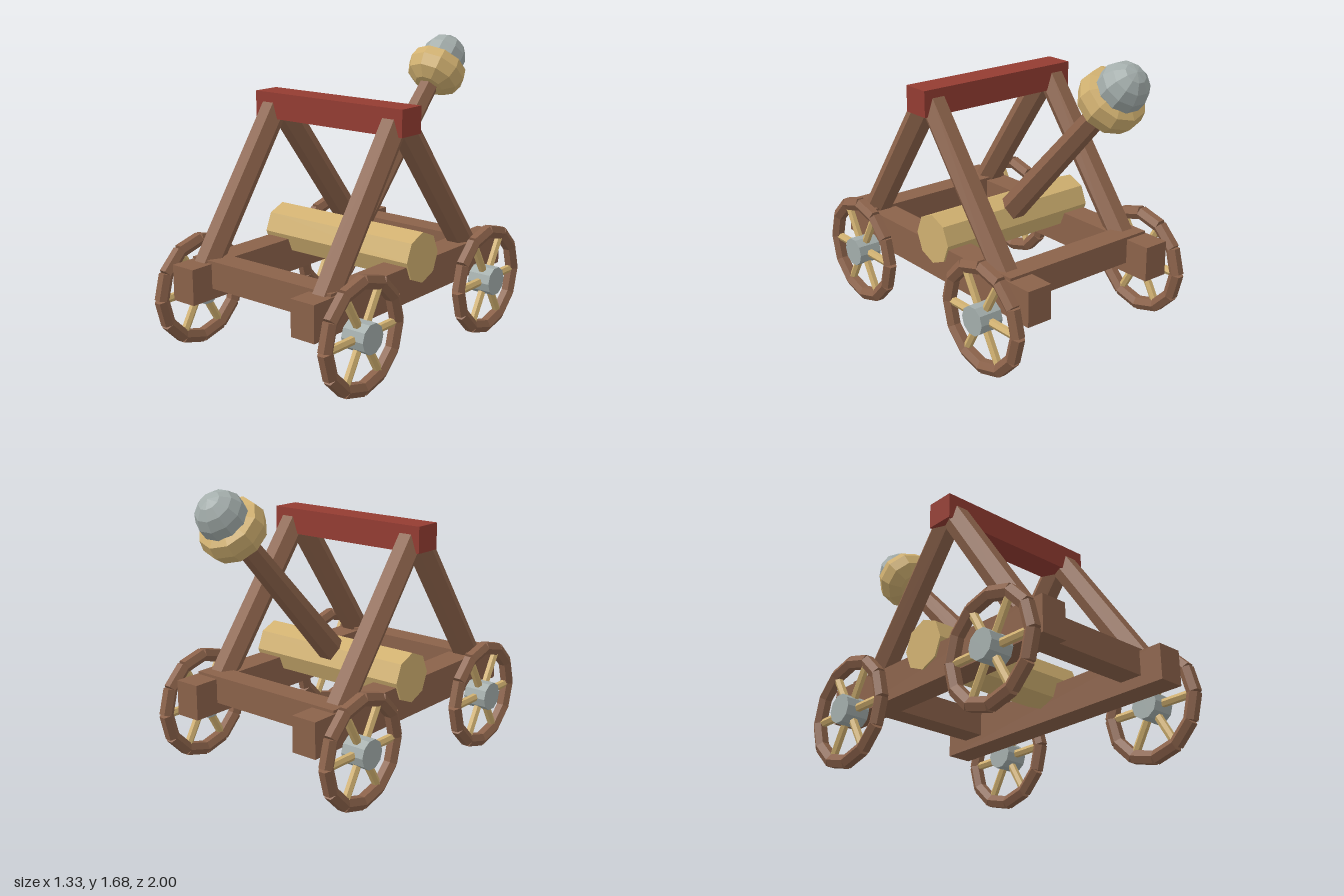
import * as THREE from 'three';

export function createModel() {
  const model = new THREE.Group();
  model.name = 'catapult';

  const material = (name, color) => {
    const m = new THREE.MeshStandardMaterial({ color, flatShading: true });
    m.name = name;
    return m;
  };
  const wood = material('darkWood', 0x8b624a);
  const paleWood = material('paleWood', 0xd0b070);
  const red = material('redPaint', 0x943c32);
  const stone = material('greyStone', 0xa3adab);

  const add = (parent, name, geometry, mat, x = 0, y = 0, z = 0) => {
    const mesh = new THREE.Mesh(geometry, mat);
    mesh.name = name;
    mesh.position.set(x, y, z);
    parent.add(mesh);
    return mesh;
  };
  const box = (name, mat, w, h, d, x, y, z) =>
    add(model, name, new THREE.BoxGeometry(w, h, d), mat, x, y, z);

  // Six-sided pole between two points, with corners towards +x and -x
  const up = new THREE.Vector3(0, 1, 0);
  const pole = (parent, name, mat, a, b, rStart, rEnd) => {
    const from = new THREE.Vector3(...a), to = new THREE.Vector3(...b);
    const dir = to.clone().sub(from);
    const geometry = new THREE.CylinderGeometry(rEnd, rStart, dir.length(), 6);
    geometry.rotateY(Math.PI / 2);
    const mesh = add(parent, name, geometry, mat, ...from.add(to).multiplyScalar(0.5));
    mesh.quaternion.setFromUnitVectors(up, dir.normalize());
    return mesh;
  };

  // Base frame and A-frame legs
  for (const s of [1, -1]) {
    const side = s > 0 ? 'left' : 'right';
    box(side + 'Rail', wood, 0.155, 0.203, 1.705, s * 0.432, 0.445, 0.1);
    pole(model, side + 'FrontLeg', wood, [s * 0.43, 0.5, 0.78], [s * 0.43, 1.35, 0.19], 0.078, 0.078);
    pole(model, side + 'RearLeg', wood, [s * 0.43, 0.51, -0.48], [s * 0.43, 1.35, 0.165], 0.078, 0.078);
  }
  box('frontCrossBeam', wood, 1.0, 0.157, 0.14, 0, 0.484, 0.742);
  box('rearCrossBeam', wood, 1.0, 0.157, 0.14, 0, 0.484, -0.528);
  box('topBeam', red, 1.045, 0.15, 0.168, 0, 1.345, 0.18);

  // Winding drum
  const drum = new THREE.CylinderGeometry(0.145, 0.145, 1.04, 8).rotateZ(Math.PI / 2);
  add(model, 'drum', drum, paleWood, 0, 0.573, 0.06);

  // Throwing arm, bowl and stone share one tilted axis
  const pivot = new THREE.Vector3(0, 0.573, 0.06);
  const bowlCentre = new THREE.Vector3(0, 1.468, -0.788);
  const axis = bowlCentre.clone().sub(pivot).normalize();
  pole(model, 'throwingArm', wood, pivot.toArray(), bowlCentre.toArray(), 0.081, 0.058);

  const profile = [[0, -0.125], [0.09, -0.115], [0.16, -0.07], [0.184, 0], [0.168, 0.065], [0.125, 0.085], [0, 0.06]]
    .map(([r, h]) => new THREE.Vector2(r, h));
  const bowl = add(model, 'bowl', new THREE.LatheGeometry(profile, 10), paleWood, ...bowlCentre);
  bowl.quaternion.setFromUnitVectors(up, axis);

  const ball = add(model, 'stoneBall', new THREE.SphereGeometry(0.136, 10, 7), stone, 0, 1.55, -0.868);
  ball.quaternion.setFromUnitVectors(up, axis);

  // Wheels: twelve rim logs, six spokes and a hub
  const makeWheel = (name, x, z) => {
    const wheel = new THREE.Group();
    wheel.name = name;
    wheel.position.set(x, 0.325, z);
    for (let i = 0; i < 12; i++) {
      const a = ((i + 0.5) * Math.PI) / 6;
      const rim = new THREE.CylinderGeometry(0.041, 0.041, 0.152, 6).rotateY(Math.PI / 2);
      const log = add(wheel, 'rimLog', rim, wood, 0, 0.28 * Math.sin(a), 0.28 * Math.cos(a));
      log.rotation.x = -a;
    }
    for (let i = 0; i < 6; i++) {
      const a = (i * Math.PI) / 3;
      pole(wheel, 'spoke', paleWood, [0, 0, 0], [0, 0.26 * Math.sin(a), 0.26 * Math.cos(a)], 0.024, 0.024);
    }
    const hub = new THREE.CylinderGeometry(0.084, 0.084, 0.14, 10).rotateZ(Math.PI / 2);
    add(wheel, 'hub', hub, stone);
    model.add(wheel);
  };
  for (const s of [1, -1]) {
    const side = s > 0 ? 'left' : 'right';
    makeWheel(side + 'FrontWheel', s * 0.594, 0.68);
    makeWheel(side + 'RearWheel', s * 0.594, -0.48);
  }

  return model;
}
